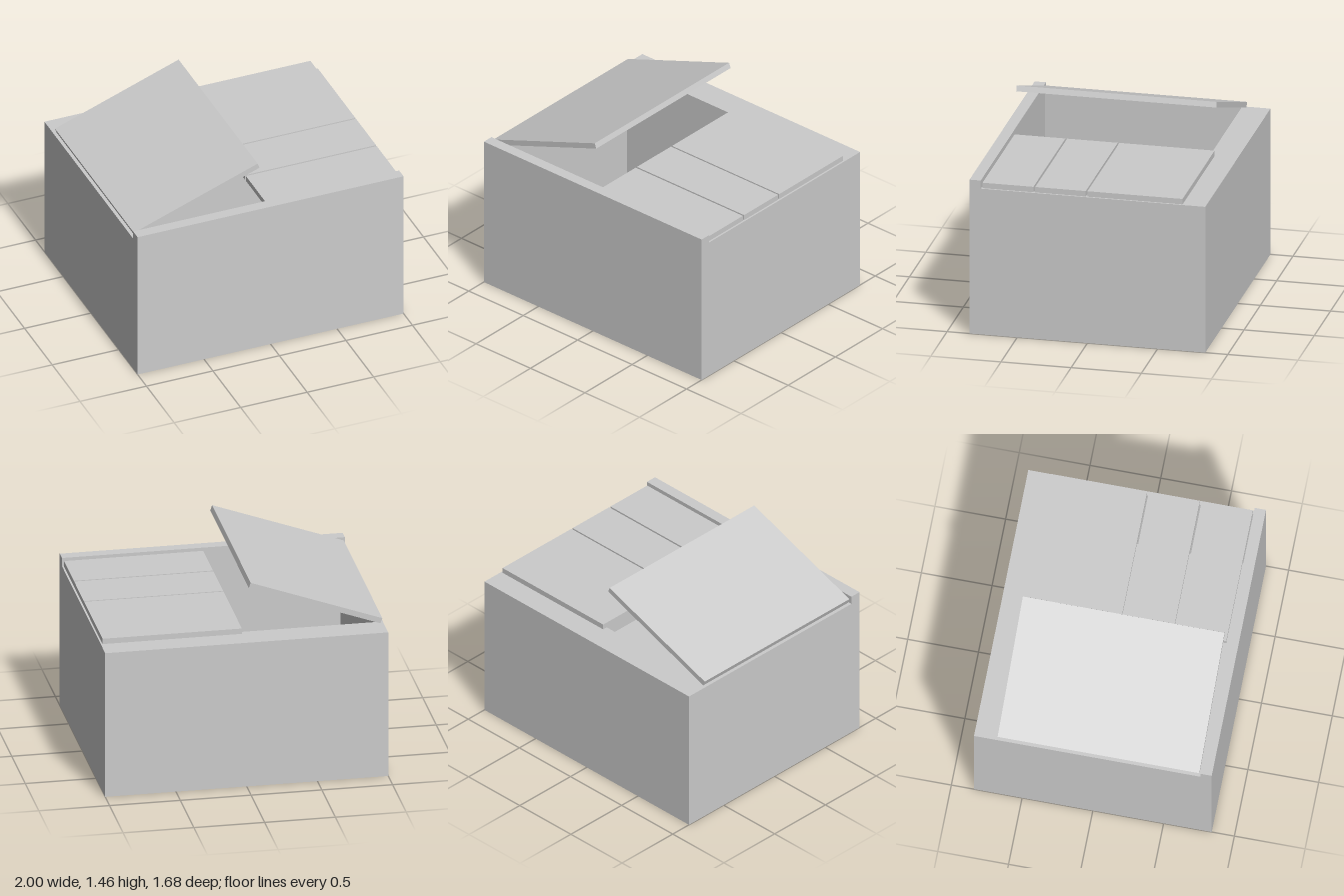
import * as THREE from 'three';

export function createModel() {
  const model = new THREE.Group();
  model.name = 'storageBox';
  const material = new THREE.MeshStandardMaterial({ color: 0xcccccc, flatShading: true });

  // Box given by its lower and upper limits on each axis
  function addBox(name, [x0, x1], [y0, y1], [z0, z1], parent = model) {
    const geometry = new THREE.BoxGeometry(x1 - x0, y1 - y0, z1 - z0);
    const mesh = new THREE.Mesh(geometry, material);
    mesh.position.set((x0 + x1) / 2, (y0 + y1) / 2, (z0 + z1) / 2);
    mesh.name = name;
    parent.add(mesh);
    return mesh;
  }

  const rim = 1.08, lidTop = 1.12, innerX = 0.97, backZ = -0.64, frontZ = 0.76;

  // Body: tall front, thick back, thin sides and a raised floor
  addBox('frontWall', [-1, 1], [0, 1.14], [frontZ, 0.84]);
  addBox('backWall', [-1, 1], [0, rim], [-0.84, backZ]);
  addBox('leftWall', [innerX, 1], [0, rim], [backZ, frontZ]);
  addBox('rightWall', [-1, -innerX], [0, rim], [backZ, frontZ]);
  addBox('floor', [-innerX, innerX], [0.03, 0.06], [backZ, 0.735]);

  // Three closed cover panels
  [[-0.675, 0.003], [0.015, 0.375], [0.388, 0.75]].forEach((z, i) =>
    addBox(`coverPanel${i + 1}`, [0.003, 0.987], [rim, lidTop], z));

  // Hinged lid, propped open about its upper outer edge
  const lid = new THREE.Group();
  lid.name = 'openLid';
  lid.position.set(-0.99, lidTop, 0);
  lid.rotation.z = THREE.MathUtils.degToRad(20);
  addBox('lidPanel', [0, 0.99], [-0.04, 0], [-0.675, 0.75], lid);
  model.add(lid);

  return model;
}
